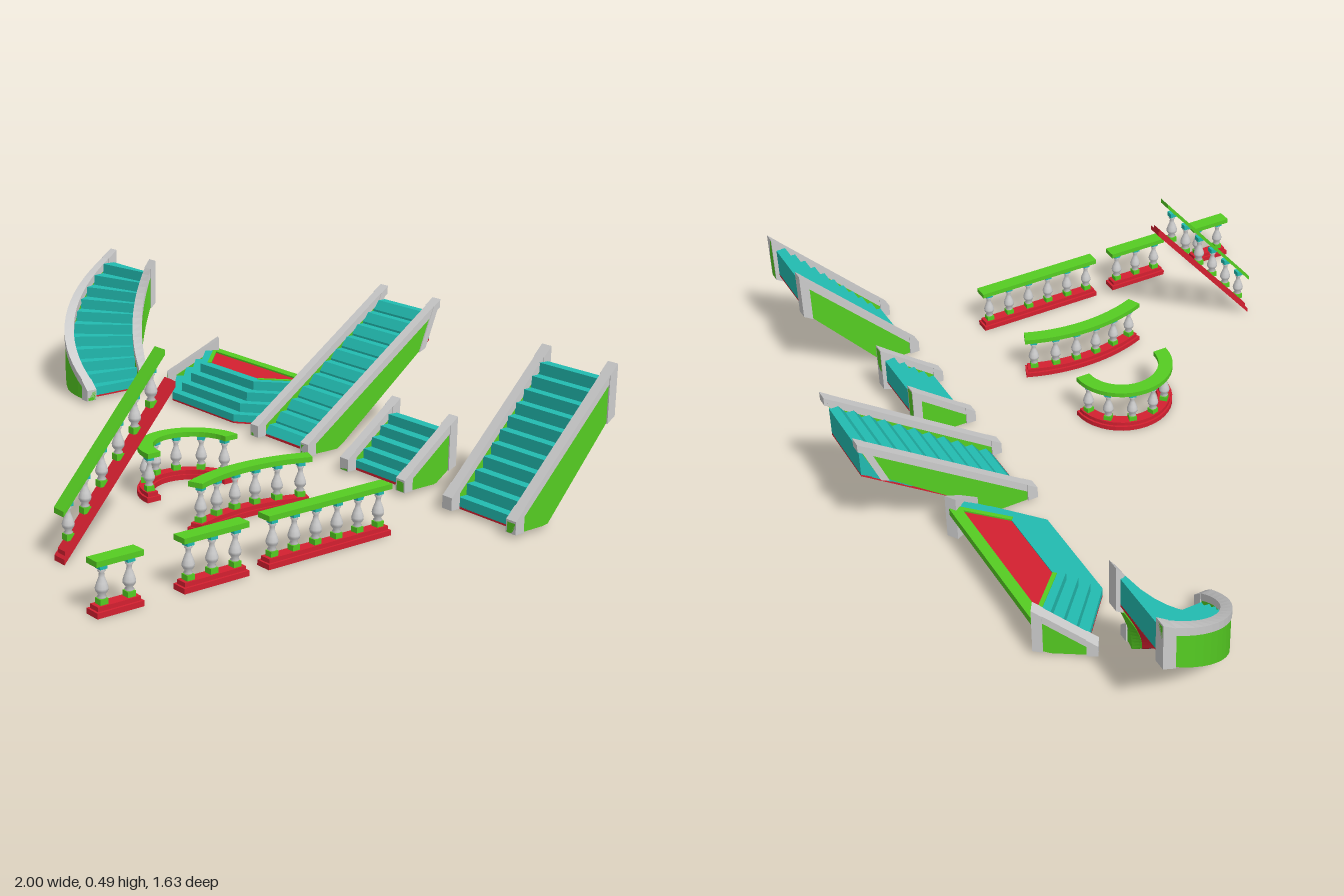
import * as THREE from 'three';

const mat = (color) => new THREE.MeshStandardMaterial({ color, flatShading: true, side: THREE.DoubleSide });
const grey = mat(0xcccccc), green = mat(0x55cc22), teal = mat(0x22bbb0), red = mat(0xd42030);
const lerp = THREE.MathUtils.lerp;

// Solid strip swept back along t; rows are [tTop, yTop, tBottom, yBottom], map places (x, y, t) in space
function strip(parent, name, material, rows, x0, x1, map) {
  const rings = rows.map(([tt, yt, tb, yb]) => [map(x0, yt, tt), map(x1, yt, tt), map(x1, yb, tb), map(x0, yb, tb)]);
  const pos = [];
  const quad = (a, b, c, d) => pos.push(...a, ...b, ...c, ...a, ...c, ...d);
  for (let i = 0; i < rings.length - 1; i++) {
    for (let k = 0; k < 4; k++) {
      const n = (k + 1) % 4;
      quad(rings[i][k], rings[i][n], rings[i + 1][n], rings[i + 1][k]);
    }
  }
  const f = rings[0], l = rings[rings.length - 1];
  quad(f[3], f[2], f[1], f[0]);
  quad(l[0], l[1], l[2], l[3]);
  const geo = new THREE.BufferGeometry();
  geo.setAttribute('position', new THREE.Float32BufferAttribute(pos, 3));
  geo.computeVertexNormals();
  const mesh = new THREE.Mesh(geo, material);
  mesh.name = name;
  parent.add(mesh);
}

const straight = (x, z) => (lx, y, t) => [x + lx, y, z - t];
const underside = (o, t) => Math.max(0.01, 0.01 + (t - o.t0) * (o.height - o.drop - 0.01) / (o.run - o.t0));

// Sawtooth flight of steps with a red soffit below
function flight(parent, o, x0, x1, map) {
  const tread = o.run / o.n, rise = (o.height - 0.01) / o.n, rows = [];
  const row = (t, y) => rows.push([t, y, t, underside(o, t) + 0.005]);
  for (let i = 0; i < o.n; i++) {
    row(i * tread, 0.016 + i * rise);
    row((i + o.lean) * tread, 0.01 + (i + 1) * rise);
    row((i + 1) * tread, 0.01 + (i + 1) * rise);
  }
  strip(parent, 'steps', teal, rows, x0, x1, map);
  const soffit = [];
  for (let i = 0; i <= 16; i++) {
    const t = o.run * i / 16, y = underside(o, t);
    soffit.push([t, y + 0.007, t, y]);
  }
  strip(parent, 'soffit', red, soffit, x0, x1, map);
}

// Green side panel framed by a grey cap and grey end pieces
function stringer(parent, o, x0, x1, map) {
  const s = { ...o, t0: 0.09, drop: 0.1 };
  const back = o.run + 0.012, slant = o.slant || 0;
  const top = (t) => lerp(0.045, o.height + 0.04, (t + 0.03) / (back + 0.03));
  const ts = [-0.03, 0];
  for (let i = 1; i < 16; i++) ts.push((o.run - 0.015) * i / 16);
  ts.push(o.run - 0.015, back);
  const tb = (t) => t - slant * Math.max(0, (t - 0.09) / (back - 0.09));
  const low = (t) => underside(s, Math.min(t, o.run));
  const span = (list, inset) => list.map((t) => [t, top(t) - inset, tb(t), low(t) + inset * 0.2]);
  const m = 0.002;
  strip(parent, 'sidePanel', green, span(ts, 0.006), x0 + m, x1 - m, map);
  strip(parent, 'stringerCap', grey, ts.map((t) => [t, top(t), t, Math.max(0.01, top(t) - 0.025)]), x0, x1, map);
  strip(parent, 'lowerEnd', grey, span([-0.03, -0.015, 0], 0), x0 - m, x1 + m, map);
  strip(parent, 'upperEnd', grey, span([back - 0.027, back], 0), x0 - m, x1 + m, map);
}

function staircase(name, o, width, map) {
  const g = new THREE.Group();
  g.name = name;
  flight(g, o, 0.028, width - 0.028, map);
  stringer(g, o, 0, 0.03, map);
  stringer(g, o, width - 0.03, width, map);
  return g;
}

// Quarter turn: straight beyond both ends, circular between
function quarterTurn(cx, cz, rOut, run) {
  return (x, y, t) => {
    const r = rOut - x, a = THREE.MathUtils.clamp(t / run, 0, 1) * Math.PI / 2;
    return [cx - r * Math.sin(a) - Math.min(t, 0), y, cz + r * Math.cos(a) - Math.max(t - run, 0)];
  };
}

// Three-sided flight around a trapezoid landing
function threeSidedStair() {
  const g = new THREE.Group();
  g.name = 'threeSidedStair';
  const cx = -0.335;
  const mirror = ([a, b]) => [[cx - a[0], a[1]], [cx - b[0], b[1]], [cx + b[0], b[1]], [cx + a[0], a[1]]];
  const P = mirror([[0.3, -0.47], [0.155, -0.345]]), Q = mirror([[0.232, -0.575], [0.125, -0.47]]);
  const run = 0.125;
  const o = { run, height: 0.12, n: 4, lean: 0, t0: 0.03, drop: 0.03 };
  for (let i = 0; i < 3; i++) {
    flight(g, o, 0, 1, (x, y, t) => {
      const c = (k) => lerp(lerp(P[i][k], Q[i][k], t / run), lerp(P[i + 1][k], Q[i + 1][k], t / run), x);
      return [c(0), y, c(1)];
    });
  }
  [[0, -0.028, 0.002], [3, -0.002, 0.028]].forEach(([i, x0, x1]) => {
    const dx = (Q[i][0] - P[i][0]) / run, dz = (Q[i][1] - P[i][1]) / run, l = Math.hypot(dx, dz);
    stringer(g, o, x0, x1, (x, y, t) => [P[i][0] + (dx * t - dz * x) / l, y, P[i][1] + (dz * t + dx * x) / l]);
  });
  // Landing and its border
  const shape = new THREE.Shape(Q.map((q) => new THREE.Vector2(q[0], -q[1])));
  const deck = new THREE.Mesh(new THREE.ExtrudeGeometry(shape, { depth: 0.012, bevelEnabled: false }), red);
  deck.rotation.x = -Math.PI / 2;
  deck.position.y = 0.105;
  deck.name = 'landing';
  g.add(deck);
  [[0, 1], [2, 3], [3, 0]].forEach(([i, j]) => {
    const dx = Q[j][0] - Q[i][0], dz = Q[j][1] - Q[i][1];
    const bar = new THREE.Mesh(new THREE.BoxGeometry(Math.hypot(dx, dz) + 0.012, 0.022, i === 3 ? 0.03 : 0.012), green);
    bar.position.set((Q[i][0] + Q[j][0]) / 2, 0.111, (Q[i][1] + Q[j][1]) / 2 - (i === 3 ? 0.006 : 0));
    bar.rotation.y = -Math.atan2(dz, dx);
    bar.name = 'landingBorder';
    g.add(bar);
  });
  return g;
}

// Turned baluster with square blocks at foot and head
const vase = new THREE.LatheGeometry([[0.008, 0.038], [0.012, 0.042], [0.008, 0.047], [0.015, 0.057], [0.016, 0.064],
  [0.012, 0.077], [0.007, 0.09], [0.006, 0.1], [0.01, 0.105], [0.007, 0.112]].map(([r, y]) => new THREE.Vector2(r, y)), 12);
const vaseMat = new THREE.MeshStandardMaterial({ color: 0xcccccc, side: THREE.DoubleSide });
function baluster() {
  const g = new THREE.Group();
  g.name = 'baluster';
  const add = (geo, material, y, name) => {
    const m = new THREE.Mesh(geo, material);
    m.position.y = y;
    m.name = name;
    g.add(m);
  };
  add(vase, vaseMat, 0, 'balusterVase');
  add(new THREE.BoxGeometry(0.022, 0.016, 0.022), green, 0.031, 'balusterFoot');
  add(new THREE.BoxGeometry(0.02, 0.014, 0.02), teal, 0.117, 'balusterHead');
  return g;
}

function balustrade(name, length, count, seg, map, railLength = length) {
  const g = new THREE.Group();
  g.name = name;
  const bar = (part, m, half, y0, y1, a, b) => {
    const rows = [];
    for (let i = 0; i <= seg; i++) {
      const t = lerp(a, b, i / seg);
      rows.push([t, y1, t, y0]);
    }
    strip(g, part, m, rows, -half, half, map);
  };
  bar('plinth', red, 0.022, 0, 0.014, 0, length);
  bar('plinthStep', red, 0.016, 0.014, 0.025, 0.006, length - 0.006);
  bar('handrail', green, 0.021, 0.123, 0.137, 0, railLength);
  for (let i = 0; i < count; i++) {
    const t = lerp(0.027, railLength - 0.027, i / (count - 1));
    const p = map(0, 0, t), q = map(0.01, 0, t);
    const b = baluster();
    b.position.set(...p);
    b.rotation.y = -Math.atan2(q[2] - p[2], q[0] - p[0]);
    g.add(b);
  }
  return g;
}

const arc = (cx, cz, R, half, length) => (x, y, t) => {
  const a = (t / length - 0.5) * 2 * half;
  return [cx - (R - x) * Math.cos(a), y, cz - (R - x) * Math.sin(a)];
};

export function createModel() {
  const root = new THREE.Group();
  root.name = 'stairAndBalustradeSet';
  const base = { t0: 0.09, drop: 0.09, lean: 0, height: 0.36, n: 11 };
  // Staircases
  root.add(
    staircase('longStair', { ...base, run: 0.465, lean: 0.42, slant: 0.055, t0: 0.1 }, 0.255, straight(-0.053, -0.34)),
    staircase('steepStair', { ...base, run: 0.31 }, 0.255, straight(0.743, -0.34)),
    staircase('shortStair', { ...base, run: 0.15, height: 0.15, n: 5, drop: 0.08 }, 0.255, straight(0.342, -0.34)),
    staircase('curvedStair', { ...base, run: 0.33 }, 0.25, quarterTurn(-0.665, -0.455, 0.333, 0.33)),
    threeSidedStair(),
  );
  // Balustrades
  root.add(
    balustrade('longBalustrade', 0.4, 6, 1, straight(0.77, 0.32)),
    balustrade('mediumBalustrade', 0.193, 3, 1, straight(0.77, 0.573)),
    balustrade('shortBalustrade', 0.13, 2, 1, straight(0.77, 0.817)),
    balustrade('curvedBalustrade', 0.4, 6, 12, arc(0.95, 0.12, 0.5, 0.39, 0.4)),
    balustrade('semicircularBalustrade', 0.408, 6, 20, arc(0.23, 0.12, 0.13, Math.PI / 2, 0.408)),
    balustrade('slopedBalustrade', 0.335, 6, 1, (x, y, t) => [0.45 + x, y + t * 1.17, 0.695 - t], 0.303),
  );
  return root;
}
